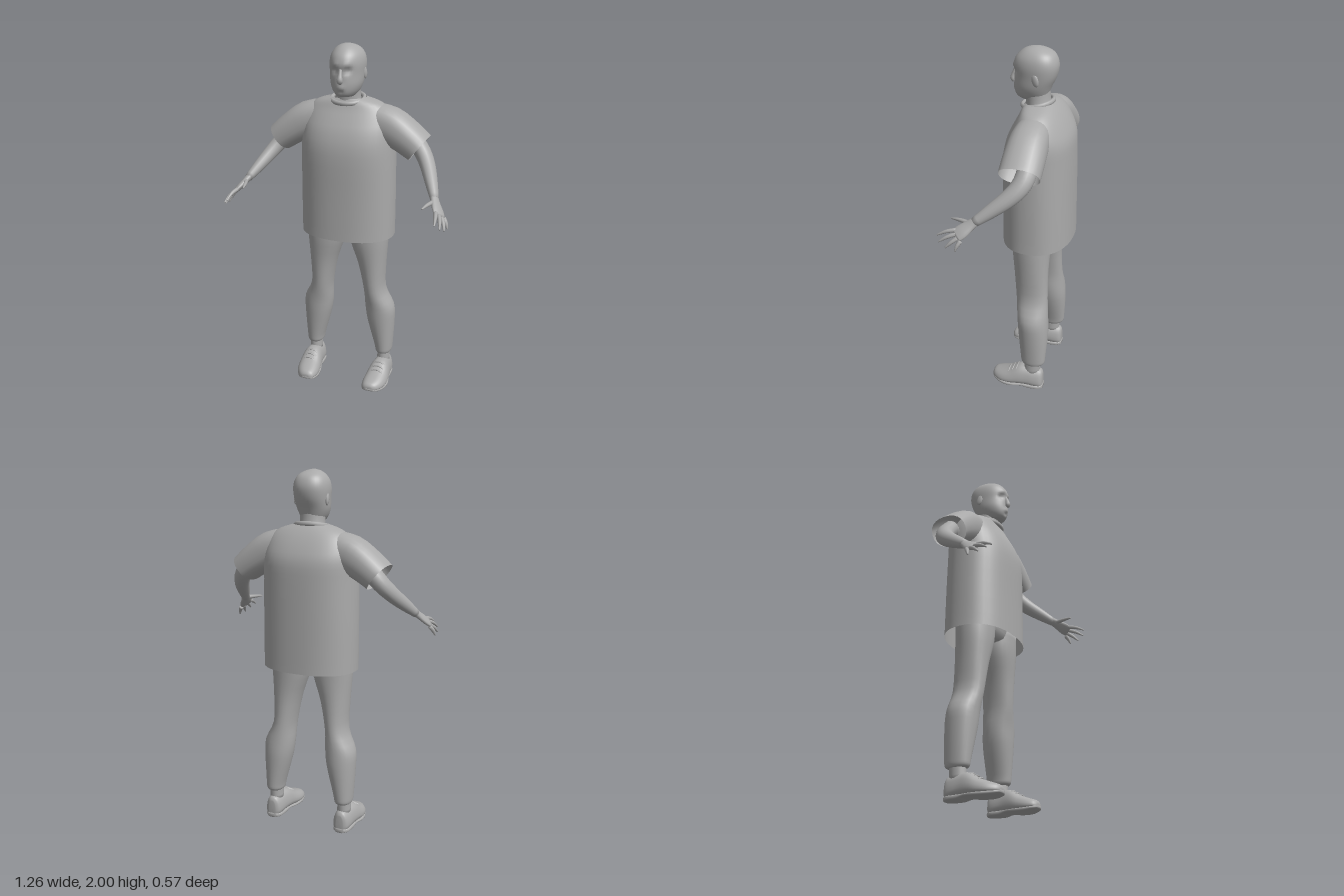
import * as THREE from 'three';

const grey = new THREE.MeshStandardMaterial({ color: 0xaaaaaa, side: THREE.DoubleSide });
grey.name = 'plain grey';

// Smoothly interpolate rows of numbers, adding steps between them
function refine(rows, sub) {
  const out = [];
  for (let i = 0; i < rows.length - 1; i++) {
    const p0 = rows[Math.max(i - 1, 0)], p1 = rows[i], p2 = rows[i + 1], p3 = rows[Math.min(i + 2, rows.length - 1)];
    for (let s = 0; s < sub; s++) {
      const t = s / sub;
      out.push(p1.map((b, k) => {
        const a = p0[k], c = p2[k], d = p3[k];
        return b + 0.5 * t * (c - a + t * (2 * a - 5 * b + 4 * c - d + t * (3 * (b - c) + d - a)));
      }));
    }
  }
  out.push(rows[rows.length - 1]);
  return out;
}

// Skin closed rings into a surface; capStart and capEnd close the ends
function skin(rings, capStart, capEnd) {
  const n = rings[0].length, pos = [], idx = [];
  rings.forEach(r => r.forEach(p => pos.push(p.x, p.y, p.z)));
  for (let i = 0; i < rings.length - 1; i++) for (let j = 0; j < n; j++) {
    const a = i * n + j, b = i * n + (j + 1) % n;
    idx.push(a, a + n, b, b, a + n, b + n);
  }
  const cap = (r, first) => {
    const c = rings[r].reduce((s, p) => s.add(p), new THREE.Vector3()).divideScalar(n), k = pos.length / 3;
    pos.push(c.x, c.y, c.z);
    for (let j = 0; j < n; j++) {
      const a = r * n + j, b = r * n + (j + 1) % n;
      first ? idx.push(k, a, b) : idx.push(k, b, a);
    }
  };
  if (capStart) cap(0, true);
  if (capEnd) cap(rings.length - 1, false);
  const g = new THREE.BufferGeometry();
  g.setAttribute('position', new THREE.Float32BufferAttribute(pos, 3));
  g.setIndex(idx);
  g.computeVertexNormals();
  return g;
}

const sup = (v, n) => Math.sign(v) * Math.abs(v) ** (2 / n);
const angles = seg => Array.from({ length: seg }, (_, j) => j / seg * Math.PI * 2);

// Level rings from rows [height, centre x, half width, front z, back z].
// With along = 'z' the rows are [z, centre x, half width, top y, bottom y].
function stack(rows, { seg = 24, n = 2, taper = 0, sub = 3, along = 'y', caps = [true, true], shape } = {}) {
  const rings = refine(rows, sub).map(([h, cx, rx, f, b]) => angles(seg).map(a => {
    const s = sup(Math.sin(a), n);
    const x = cx + rx * sup(Math.cos(a), n) * (1 - taper * s), w = (f + b) / 2 + (f - b) / 2 * s;
    const p = along === 'y' ? new THREE.Vector3(x, h, w) : new THREE.Vector3(x, w, h);
    if (shape) shape(p);
    return p;
  }));
  return skin(rings, ...caps);
}

// Rings square to a path, rows [x, y, z, thickness, width]; ref is the width direction
function limb(rows, { seg = 12, n = 2, sub = 3, ref = [0, 0, 1], caps = [true, true] } = {}) {
  const rs = refine(rows, sub), at = i => new THREE.Vector3(...rs[i].slice(0, 3)), r = new THREE.Vector3(...ref);
  const rings = rs.map((row, i) => {
    const T = at(Math.min(i + 1, rs.length - 1)).sub(at(Math.max(i - 1, 0))).normalize();
    const N = T.clone().cross(r).normalize(), B = N.clone().cross(T);
    return angles(seg).map(a => at(i).addScaledVector(N, row[3] * sup(Math.cos(a), n)).addScaledVector(B, row[4] * sup(Math.sin(a), n)));
  });
  return skin(rings, ...caps);
}

function mirrored(g) {
  const m = g.clone().scale(-1, 1, 1), ix = m.index.array;
  for (let i = 0; i < ix.length; i += 3) [ix[i], ix[i + 1]] = [ix[i + 1], ix[i]];
  m.computeVertexNormals();
  return m;
}

export function createModel() {
  const model = new THREE.Group();
  const add = (name, g) => {
    const m = new THREE.Mesh(g, grey);
    m.name = name;
    model.add(m);
    return m;
  };
  const pair = (name, g) => { add(name + 'Left', g); add(name + 'Right', mirrored(g)); };

  // Head with eye sockets, nose bridge and mouth pushed into shape
  const bump = (p, x, y, r) => Math.exp(-((Math.abs(p.x) - x) ** 2 + (p.y - y) ** 2) / (r * r));
  add('head', stack([
    [1.73, 0, 0.05, 0.03, -0.11], [1.742, 0, 0.06, 0.046, -0.12], [1.765, 0, 0.074, 0.055, -0.128],
    [1.8, 0, 0.086, 0.058, -0.142], [1.85, 0, 0.092, 0.057, -0.165], [1.9, 0, 0.095, 0.061, -0.175],
    [1.94, 0, 0.088, 0.05, -0.168], [1.97, 0, 0.07, 0.025, -0.148], [1.99, 0, 0.043, -0.005, -0.11],
    [2, 0, 0.012, -0.04, -0.07]], {
    seg: 40, n: 2.15, taper: 0.12, sub: 4,
    shape: p => {
      if (p.z < 0) return;
      p.z += -0.018 * bump(p, 0.036, 1.872, 0.018) + 0.006 * bump(p, 0.03, 1.9, 0.016)
        + 0.008 * bump(p, 0, 1.78, 0.018) - 0.008 * bump(p, 0, 1.762, 0.012);
    },
  }));
  add('nose', limb([[0, 1.885, 0.05, 0.009, 0.008], [0, 1.85, 0.061, 0.011, 0.012], [0, 1.822, 0.068, 0.017, 0.015], [0, 1.808, 0.06, 0.012, 0.01]]));
  const ear = new THREE.SphereGeometry(1, 12, 10).scale(0.01, 0.036, 0.02).rotateX(0.3).rotateY(-0.25).translate(0.09, 1.85, -0.075);
  pair('ear', ear);
  add('neck', stack([[1.65, 0, 0.085, 0, -0.15], [1.7, 0, 0.073, -0.005, -0.14], [1.74, 0, 0.069, 0, -0.133], [1.79, 0, 0.07, 0.01, -0.13]]));

  // Loose shirt body, collar and open sleeves
  add('shirtBody', stack([
    [0.935, 0, 0.268, 0.105, -0.28], [1.2, 0, 0.268, 0.103, -0.276], [1.42, 0, 0.265, 0.102, -0.272],
    [1.53, 0, 0.262, 0.08, -0.265], [1.6, 0, 0.25, 0.048, -0.238], [1.655, 0, 0.225, 0.018, -0.205],
    [1.692, 0, 0.175, 0.002, -0.175], [1.715, 0, 0.1, -0.01, -0.15]], { seg: 40, n: 2.3, caps: [false, false] }));
  const collar = add('collar', new THREE.TorusGeometry(0.09, 0.012, 8, 28).rotateX(Math.PI / 2).scale(1, 1.1, 0.92));
  collar.position.set(0, 1.707, -0.068);
  collar.rotation.x = 0.2;
  pair('sleeve', limb([
    [0.13, 1.59, -0.09, 0.1, 0.09], [0.235, 1.568, -0.09, 0.102, 0.102],
    [0.33, 1.512, -0.09, 0.092, 0.107], [0.4, 1.46, -0.09, 0.083, 0.107]], { seg: 24, n: 2.3, caps: [true, false] }));

  // Arms, palms and fingers
  pair('arm', limb([
    [0.33, 1.52, -0.12, 0.05, 0.05], [0.385, 1.465, -0.12, 0.047, 0.052], [0.425, 1.415, -0.1, 0.044, 0.05],
    [0.462, 1.362, -0.05, 0.04, 0.045], [0.502, 1.3, 0.03, 0.032, 0.036], [0.535, 1.248, 0.1, 0.022, 0.025]], { seg: 16 }));
  const across = [0.125, -0.115, -0.07];
  pair('palm', limb([
    [0.53, 1.256, 0.09, 0.02, 0.024], [0.545, 1.235, 0.118, 0.017, 0.03],
    [0.568, 1.205, 0.155, 0.016, 0.04], [0.584, 1.185, 0.182, 0.011, 0.038]], { seg: 16, ref: across }));
  const fingers = {
    thumb: [[0.535, 1.24, 0.125], [0.515, 1.238, 0.185], [0.502, 1.233, 0.235]],
    indexFinger: [[0.562, 1.205, 0.185], [0.573, 1.195, 0.235], [0.58, 1.17, 0.285]],
    middleFinger: [[0.577, 1.192, 0.178], [0.594, 1.175, 0.225], [0.605, 1.147, 0.268]],
    ringFinger: [[0.59, 1.178, 0.168], [0.609, 1.155, 0.2], [0.62, 1.127, 0.228]],
    littleFinger: [[0.6, 1.168, 0.152], [0.616, 1.145, 0.165], [0.625, 1.118, 0.174]],
  };
  for (const [name, pts] of Object.entries(fingers)) {
    const radii = [0.012, 0.01, 0.004];
    pair(name, limb(pts.map((p, i) => [...p, radii[i], radii[i]]), { seg: 8, ref: across }));
  }

  // Trousers
  add('hips', stack([[0.93, 0, 0.05, -0.05, -0.12], [0.96, 0, 0.18, 0.01, -0.18], [1.05, 0, 0.23, 0.03, -0.19]]));
  pair('trouserLeg', stack([
    [0.165, 0.218, 0.04, -0.06, -0.165], [0.178, 0.218, 0.048, -0.046, -0.182], [0.22, 0.216, 0.054, -0.04, -0.187],
    [0.38, 0.199, 0.08, -0.022, -0.195], [0.48, 0.19, 0.085, -0.014, -0.19], [0.59, 0.163, 0.062, 0, -0.18],
    [0.75, 0.148, 0.079, 0.014, -0.176], [0.9, 0.128, 0.11, 0.03, -0.18], [1.02, 0.122, 0.12, 0.03, -0.185]], { n: 2.1 }));

  // Ankles and shoes
  pair('ankle', stack([[0.1, 0.218, 0.038, -0.06, -0.155], [0.19, 0.218, 0.036, -0.065, -0.16]], { seg: 16 }));
  pair('shoe', stack([
    [0.135, 0.2, 0.02, 0.045, 0.025], [0.122, 0.201, 0.043, 0.062, 0.016], [0.08, 0.208, 0.062, 0.078, 0.01],
    [0.025, 0.214, 0.066, 0.1, 0.01], [-0.03, 0.217, 0.06, 0.134, 0.012], [-0.08, 0.218, 0.053, 0.136, 0.012],
    [-0.13, 0.218, 0.049, 0.128, 0.008], [-0.163, 0.218, 0.04, 0.122, 0.006], [-0.175, 0.218, 0.02, 0.1, 0.015]],
  { along: 'z', n: 2.5, taper: 0.2 }));
  pair('sole', stack([
    [0.136, 0.2, 0.02, 0.032, 0.02], [0.12, 0.201, 0.046, 0.028, 0.012], [0.07, 0.209, 0.066, 0.024, 0.004],
    [0.01, 0.215, 0.068, 0.024, 0.005], [-0.05, 0.217, 0.054, 0.025, 0.01], [-0.09, 0.218, 0.052, 0.025, 0],
    [-0.15, 0.218, 0.048, 0.025, 0], [-0.177, 0.218, 0.025, 0.025, 0]], { along: 'z', n: 4 }));

  // Laces crossing the instep
  for (let i = 0; i < 3; i++) {
    const z = 0.03 - i * 0.024, y = 0.1 + i * 0.014;
    const path = new THREE.QuadraticBezierCurve3(
      new THREE.Vector3(0.182, y - 0.012, z), new THREE.Vector3(0.215, y + 0.014, z - 0.005), new THREE.Vector3(0.248, y - 0.012, z));
    pair('lace' + (i + 1), new THREE.TubeGeometry(path, 8, 0.005, 6));
  }
  return model;
}
